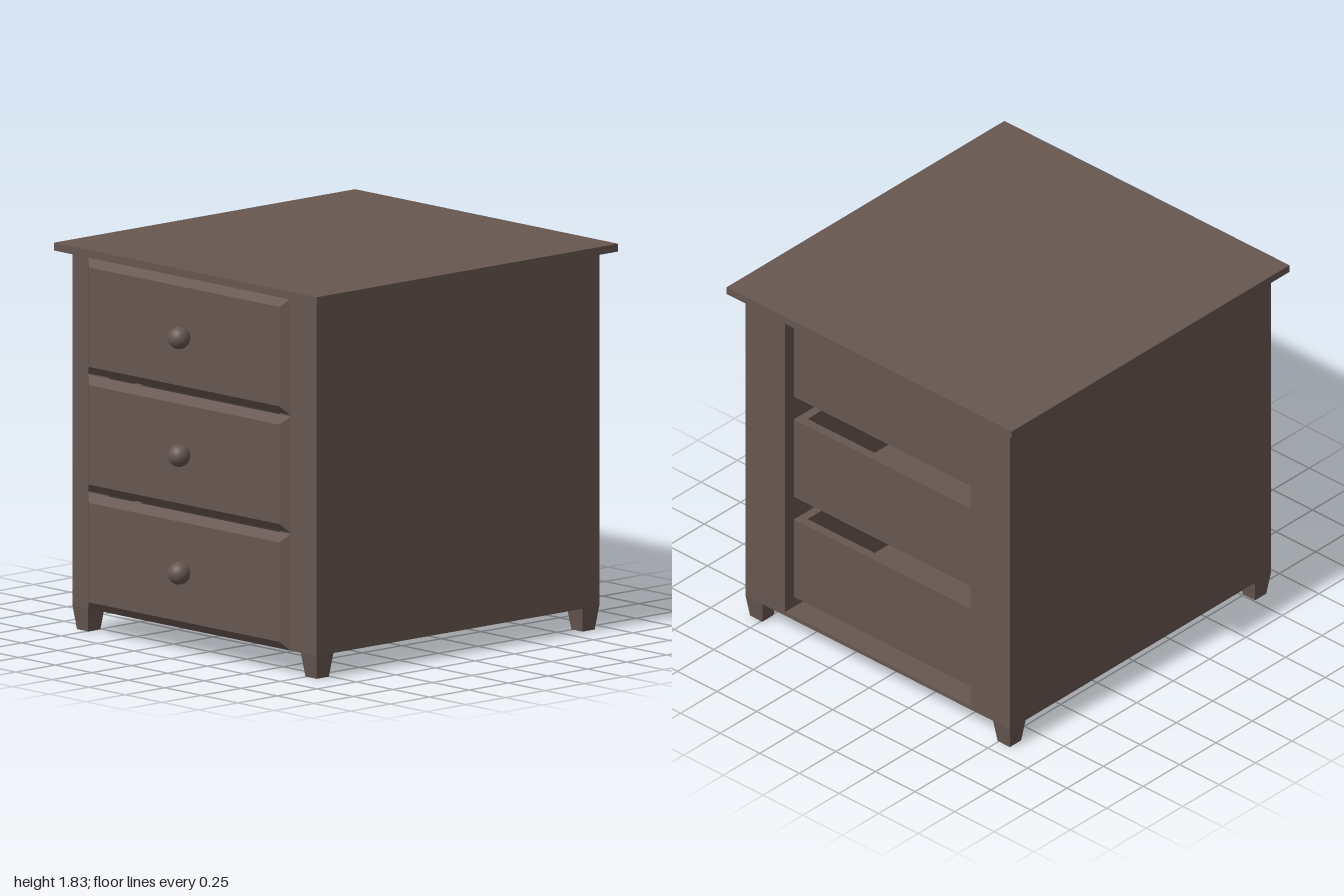
import * as THREE from 'three';

export function createModel() {
  const model = new THREE.Group();
  model.name = 'drawerCabinet';
  const wood = new THREE.MeshStandardMaterial({ color: 0x675751 });
  wood.name = 'dark brown wood';

  const add = (name, geometry, parent = model) => {
    const mesh = new THREE.Mesh(geometry, wood);
    mesh.name = name;
    parent.add(mesh);
    return mesh;
  };

  // Box given by its lower and upper limits on each axis
  const block = (name, [x0, x1], [y0, y1], [z0, z1], parent) => {
    const mesh = add(name, new THREE.BoxGeometry(x1 - x0, y1 - y0, z1 - z0), parent);
    mesh.position.set((x0 + x1) / 2, (y0 + y1) / 2, (z0 + z1) / 2);
    return mesh;
  };

  // Box whose cross-section is scaled by a rule along one axis
  const taperedBox = (size, segments, axis, scaleAt) => {
    const geometry = new THREE.BoxGeometry(...size, ...segments).toNonIndexed();
    const p = geometry.attributes.position;
    const v = new THREE.Vector3();
    for (let i = 0; i < p.count; i++) {
      v.fromBufferAttribute(p, i);
      scaleAt(v, v[axis]);
      p.setXYZ(i, v.x, v.y, v.z);
    }
    geometry.computeVertexNormals();
    return geometry;
  };

  const back = -0.94, front = 0.85, base = 0.112, under = 1.791;
  const outer = 0.835, inner = 0.585;

  // Carcass: top, floor and thick sides, open at front and back
  block('top', [-0.9, 0.9], [under, 1.828], [-1, 0.908]);
  block('floor', [-inner, inner], [base, base + 0.02], [back, front]);
  block('leftSide', [inner, outer], [base, under], [back, front]);
  block('rightSide', [-outer, -inner], [base, under], [back, front]);

  // Tapered feet
  const footGeometry = taperedBox([0.107, base, 0.107], [1, 1, 1], 'y', (v, y) => {
    if (y < 0) { v.x *= 0.72; v.z *= 0.72; }
  });
  for (const x of [-outer + 0.0535, outer - 0.0535]) {
    for (const z of [back + 0.0535, front - 0.0535]) {
      add('foot', footGeometry).position.set(x, base / 2, z);
    }
  }

  // Drawer front, bevelled towards both faces
  const bevel = 0.04, halfW = 0.692, halfH = 0.2755;
  const frontGeometry = taperedBox([halfW * 2, halfH * 2, 0.064], [1, 1, 2], 'z', (v, z) => {
    if (Math.abs(z) > 0.01) {
      v.x -= Math.sign(v.x) * bevel;
      v.y -= Math.sign(v.y) * bevel;
    }
  });
  const knobGeometry = new THREE.SphereGeometry(0.053, 32, 20);

  // Three drawers: open tray, front and knob
  for (let i = 0; i < 3; i++) {
    const drawer = new THREE.Group();
    drawer.name = 'drawer';
    drawer.position.y = 0.397 + i * 0.5575;
    model.add(drawer);

    const w = inner - 0.001, t = 0.045, lo = -0.21, hi = 0.222, zBack = -0.88;
    block('trayBack', [-w, w], [lo, hi], [zBack, zBack + t], drawer);
    block('trayInnerFront', [-w, w], [lo, hi], [front - t, front], drawer);
    block('trayLeft', [w - t, w], [lo, hi], [zBack + t, front - t], drawer);
    block('trayRight', [-w, -w + t], [lo, hi], [zBack + t, front - t], drawer);
    block('trayFloor', [-w + t, w - t], [lo, lo + 0.02], [zBack + t, front - t], drawer);

    add('drawerFront', frontGeometry, drawer).position.z = front + 0.033;
    add('knob', knobGeometry, drawer).position.z = 0.947;
  }
  return model;
}
